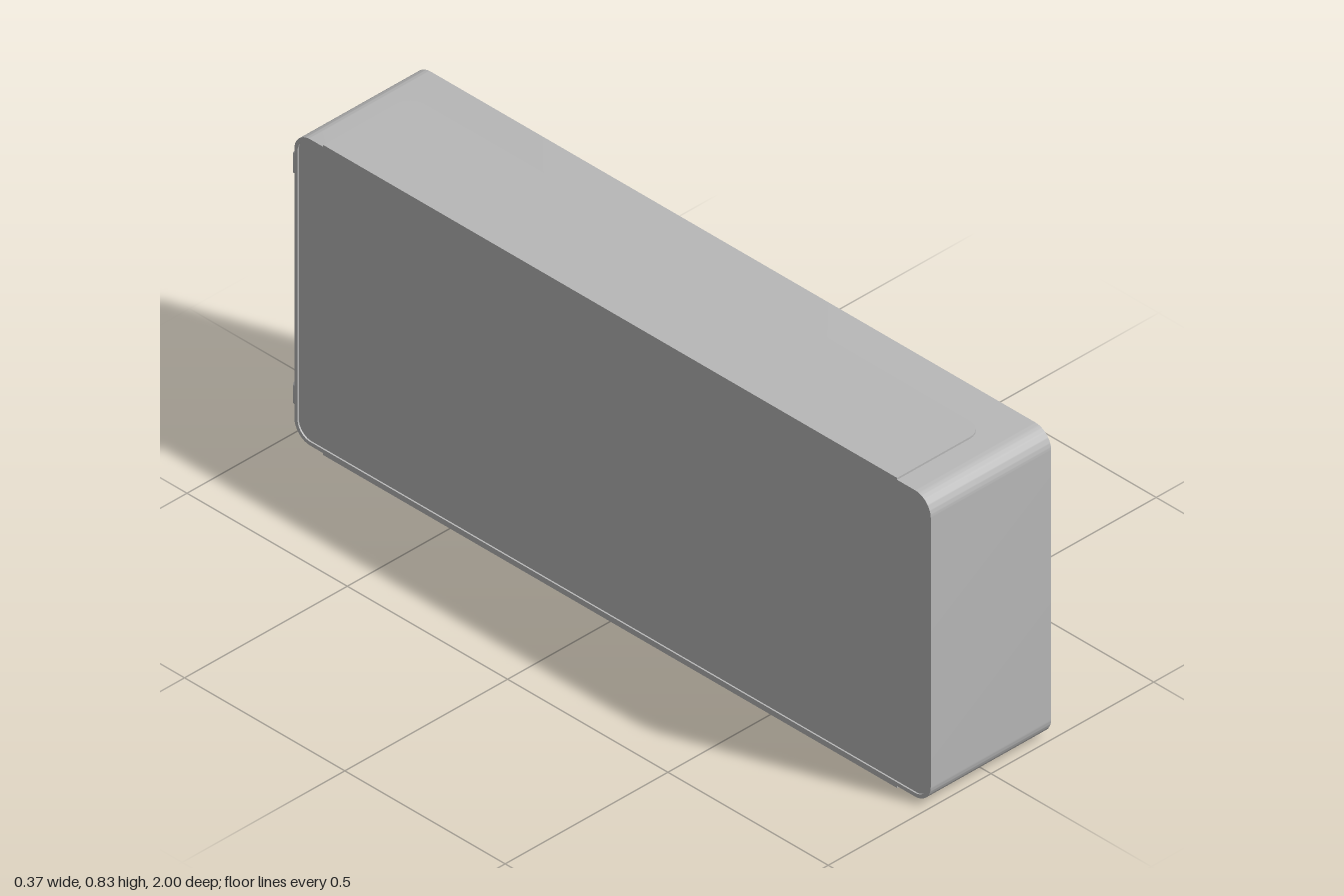
import * as THREE from 'three';
import { toCreasedNormals } from 'three/addons/utils/BufferGeometryUtils.js';

// Rectangle path; radius r1 on the low-u side, r2 on the high-u side
function rect(u0, v0, u1, v1, r1 = 0, r2 = r1, Type = THREE.Shape) {
  const s = new Type();
  const H = Math.PI / 2;
  s.moveTo(u0 + r1, v0);
  s.lineTo(u1 - r2, v0);
  if (r2) s.absarc(u1 - r2, v0 + r2, r2, -H, 0);
  s.lineTo(u1, v1 - r2);
  if (r2) s.absarc(u1 - r2, v1 - r2, r2, 0, H);
  s.lineTo(u0 + r1, v1);
  if (r1) s.absarc(u0 + r1, v1 - r1, r1, H, 2 * H);
  s.lineTo(u0, v0 + r1);
  if (r1) s.absarc(u0 + r1, v0 + r1, r1, 2 * H, 3 * H);
  return s;
}

function extrude(shape, depth) {
  return new THREE.ExtrudeGeometry(shape, { depth, bevelEnabled: false, curveSegments: 12 });
}

export function createModel() {
  const group = new THREE.Group();
  const grey = new THREE.MeshStandardMaterial({ color: 0xb8b8b8 });
  grey.name = 'grey';

  const add = (name, geometry) => {
    const mesh = new THREE.Mesh(toCreasedNormals(geometry, 0.6), grey);
    mesh.name = name;
    group.add(mesh);
    return mesh;
  };
  // Extrudes a (-z, y) shape along x
  const alongX = (name, shape, x0, x1) =>
    add(name, extrude(shape, x1 - x0).rotateY(Math.PI / 2).translate(x0, 0, 0));
  const box = (name, x0, x1, y0, y1, z0, z1) =>
    add(name, new THREE.BoxGeometry(x1 - x0, y1 - y0, z1 - z0)
      .translate((x0 + x1) / 2, (y0 + y1) / 2, (z0 + z1) / 2));

  const X = 0.185, Y0 = 0.005, Y1 = 0.822, Z0 = -0.985, Z1 = 1, wall = 0.01;
  const inner = (Type) =>
    rect(-Z1 + wall, Y0 + wall, -Z0 - wall, Y1 - wall, 0.04, 0.04, Type);

  // Rounded sleeve, open on the +x side
  const sleeve = rect(-Z1, Y0, -Z0, Y1, 0.05);
  sleeve.holes.push(inner(THREE.Path));
  alongX('shell', sleeve, -X, X);

  // Closed panel, set in slightly
  alongX('backPanel', inner(THREE.Shape), -X + 0.004, -X + 0.014);

  // Screw flanges at both ends of the opening
  const lo = Y0 + wall, hi = Y1 - wall;
  for (const end of [-1, 1]) {
    const flange = end < 0
      ? rect(-Z1 + wall, lo, -0.955, hi, 0.034, 0)
      : rect(0.945, lo, -Z0 - wall, hi, 0, 0.029);
    for (const y of [0.397, 0.435]) {
      const hole = new THREE.Path();
      hole.absarc(end < 0 ? -0.973 : 0.958, y, 0.006, 0, Math.PI * 2);
      flange.holes.push(hole);
    }
    alongX('screwFlange', flange, 0.16, 0.17);
  }

  // Five dividers, each with a small clip at its top and bottom
  for (let i = 0; i < 5; i++) {
    const z = 0.64 - i * 0.315;
    box('divider', -X + 0.014, 0.153, lo, hi, z - 0.005, z + 0.005);
    for (const y of [lo, hi - 0.008]) {
      box('dividerClip', 0.085, 0.115, y, y + 0.008, z - 0.012, z + 0.012);
    }
  }

  // Catches just inside the rim
  for (const z of [-0.81, -0.27, 0.27, 0.81]) {
    for (const y of [lo, hi - 0.006]) {
      box('rimCatch', 0.14, 0.172, y, y + 0.006, z - 0.025, z + 0.025);
    }
  }

  // Thin raised plates on the top and bottom
  for (const [name, y] of [['topPlate', Y1], ['bottomPlate', 0]]) {
    const plate = rect(-X, -0.895, 0.083, 0.895, 0, 0.045);
    add(name, extrude(plate, 0.005).rotateX(-Math.PI / 2).translate(0, y, 0));
  }

  // Foot bars on the back end
  for (const y of [0.075, 0.69]) {
    const foot = rect(-0.175, y, 0.17, y + 0.065, 0.012);
    add('footBar', extrude(foot, 0.016).translate(0, 0, -1));
  }

  return group;
}
